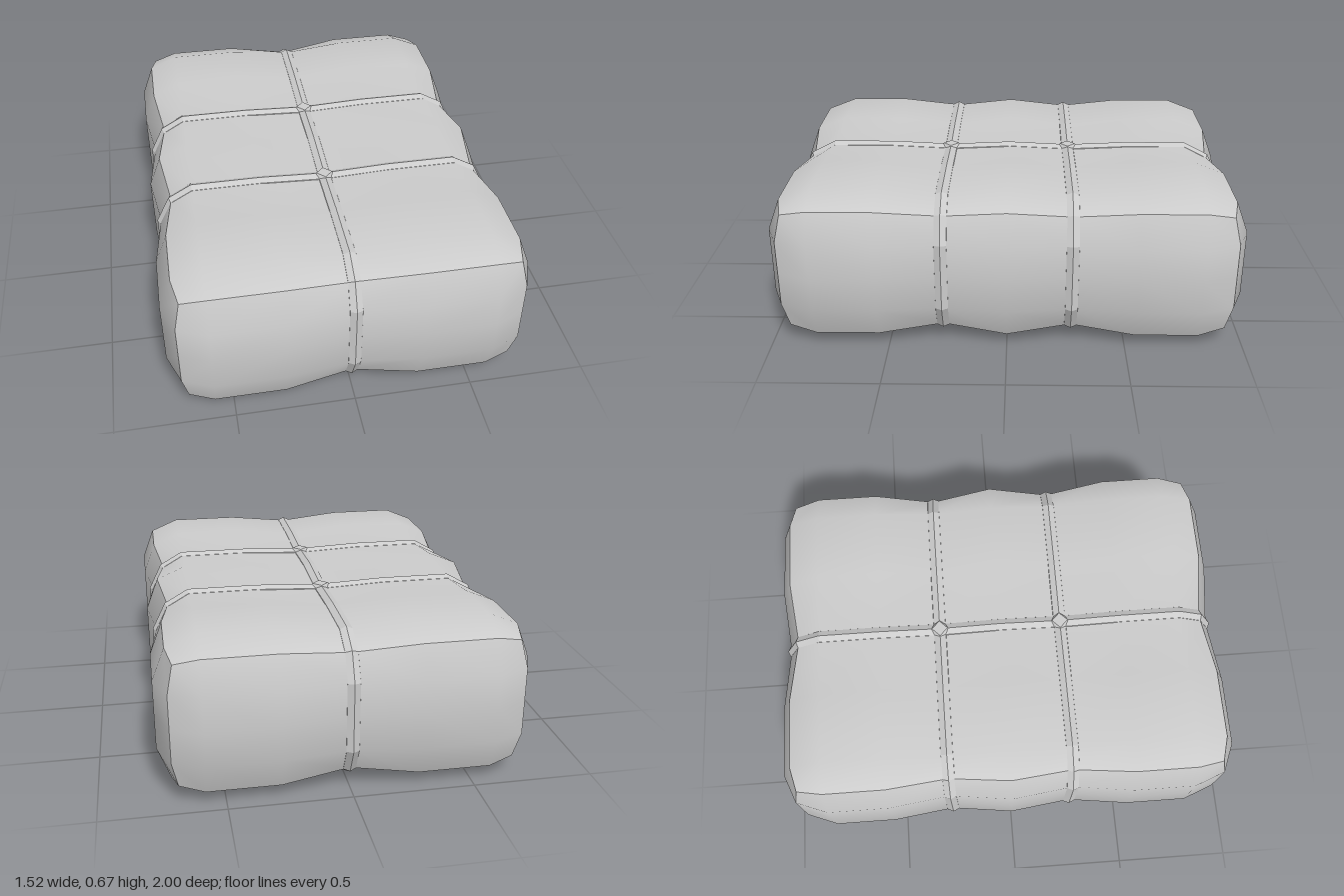
import * as THREE from 'three';

const MID = 0.335, TIE = 0.27;
// Grid stations along x, y and z; the first and last are the box edges
const mirror = (half) => [...half.map((v) => -v).reverse(), 0, ...half];
const nodes = [mirror([0.28, 0.58, 0.71]), mirror([0.145, 0.28]), mirror([TIE, 0.54, 0.81, 0.94])];
const full = [0.76, 0.335, 1.0];
const edge = [0.71, 0.28, 0.94];
const flat = [0.58, 0.145, 0.81];

const falloff = (axis, v) => Math.max(0, (Math.abs(v) - flat[axis]) / (edge[axis] - flat[axis]));
const dipX = (x) => Math.max(0, 1 - Math.abs(x) / 0.28);
const dipZ = (z) => Math.max(0, 1 - Math.abs(Math.abs(z) - TIE) / TIE);

// How far the cushion reaches along an axis: full in the middle, drawn in at edges and ties
function reach(axis, p) {
  const [e, f] = [0, 1, 2].filter((k) => k !== axis).map((k) => falloff(k, p[k]));
  const dip = [
    0.035 * dipZ(p[2]),
    0.03 * Math.hypot(dipX(p[0]), dipZ(p[2])),
    0.035 * dipX(p[0]),
  ][axis];
  return full[axis] - 0.053 * Math.max(e, f) - 0.024 * Math.min(e, f) - dip;
}

function deform(p) {
  return p.map((v, k) => (Math.abs(v) >= edge[k] ? Math.sign(v) * reach(k, p) : v));
}

function makeGeometry(positions, indices) {
  const g = new THREE.BufferGeometry();
  g.setAttribute('position', new THREE.Float32BufferAttribute(positions, 3));
  g.setIndex(indices);
  g.computeVertexNormals();
  return g;
}

// One padded side of the bundle
function sideGeometry(a, sign) {
  const b = (a + 1) % 3, c = (a + 2) % 3;
  const pos = [], idx = [], n = nodes[c].length;
  nodes[b].forEach((vb, i) => nodes[c].forEach((vc, j) => {
    const p = [];
    p[a] = sign * edge[a];
    p[b] = vb;
    p[c] = vc;
    pos.push(...deform(p));
    if (i && j) {
      const q = i * n + j, r = q - n;
      if (sign > 0) idx.push(r - 1, q - 1, q, r - 1, q, r);
      else idx.push(r - 1, q, q - 1, r - 1, r, q);
    }
  }));
  return makeGeometry(pos, idx);
}

// A ridged strap running round the bundle in the plane axis k = offset
function strapGeometry(k, offset) {
  const b = (k + 1) % 3, c = (k + 2) % 3;
  const B = nodes[b], C = nodes[c], eb = edge[b], ec = edge[c];
  const loop = [
    ...B.slice(0, -1).map((v) => [v, -ec]),
    ...C.slice(0, -1).map((v) => [eb, v]),
    ...B.slice(1).reverse().map((v) => [v, ec]),
    ...C.slice(1).reverse().map((v) => [-eb, v]),
  ].map(([u, v]) => {
    const p = [];
    p[k] = offset;
    p[b] = u;
    p[c] = v;
    return deform(p);
  });
  const section = [[-0.032, -0.008], [-0.026, 0.004], [0, 0.016], [0.026, 0.004], [0.032, -0.008]];
  const pos = [], idx = [], n = loop.length, m = section.length;
  loop.forEach((p, i) => {
    const before = loop[(i + n - 1) % n], after = loop[(i + 1) % n];
    const tb = after[b] - before[b], tc = after[c] - before[c], len = Math.hypot(tb, tc);
    section.forEach(([side, lift], j) => {
      const q = [];
      q[k] = offset + side;
      q[b] = p[b] + (tc / len) * lift;
      q[c] = p[c] - (tb / len) * lift;
      pos.push(...q);
      if (j) {
        const s = i * m + j, t = ((i + 1) % n) * m + j;
        idx.push(s - 1, t - 1, t, s - 1, t, s);
      }
    });
  });
  return makeGeometry(pos, idx);
}

export function createModel() {
  const model = new THREE.Group();
  model.name = 'tiedBundle';
  const cloth = new THREE.MeshStandardMaterial({ color: 0xcccccc });
  const cord = new THREE.MeshStandardMaterial({ color: 0xcccccc, flatShading: true });
  const add = (name, geometry, material) => {
    const mesh = new THREE.Mesh(geometry, material);
    mesh.name = name;
    mesh.position.y = MID;
    model.add(mesh);
    return mesh;
  };

  // Padded body, creased along the box edges
  const names = [['rightSide', 'leftSide'], ['bottomSide', 'topSide'], ['backSide', 'frontSide']];
  names.forEach((pair, a) => pair.forEach((name, i) => add(name, sideGeometry(a, i ? 1 : -1), cloth)));

  // Straps: one lengthwise, two crosswise
  add('longStrap', strapGeometry(0, 0), cord);
  add('frontStrap', strapGeometry(2, TIE), cord);
  add('backStrap', strapGeometry(2, -TIE), cord);

  // Flat diamond knots where the straps cross
  for (const up of [1, -1]) for (const z of [TIE, -TIE]) {
    const knot = add('strapKnot', new THREE.CylinderGeometry(0.035, 0.06, 0.024, 4), cord);
    knot.position.set(0, MID + up * 0.301, z);
    if (up < 0) knot.rotation.x = Math.PI;
  }
  return model;
}
